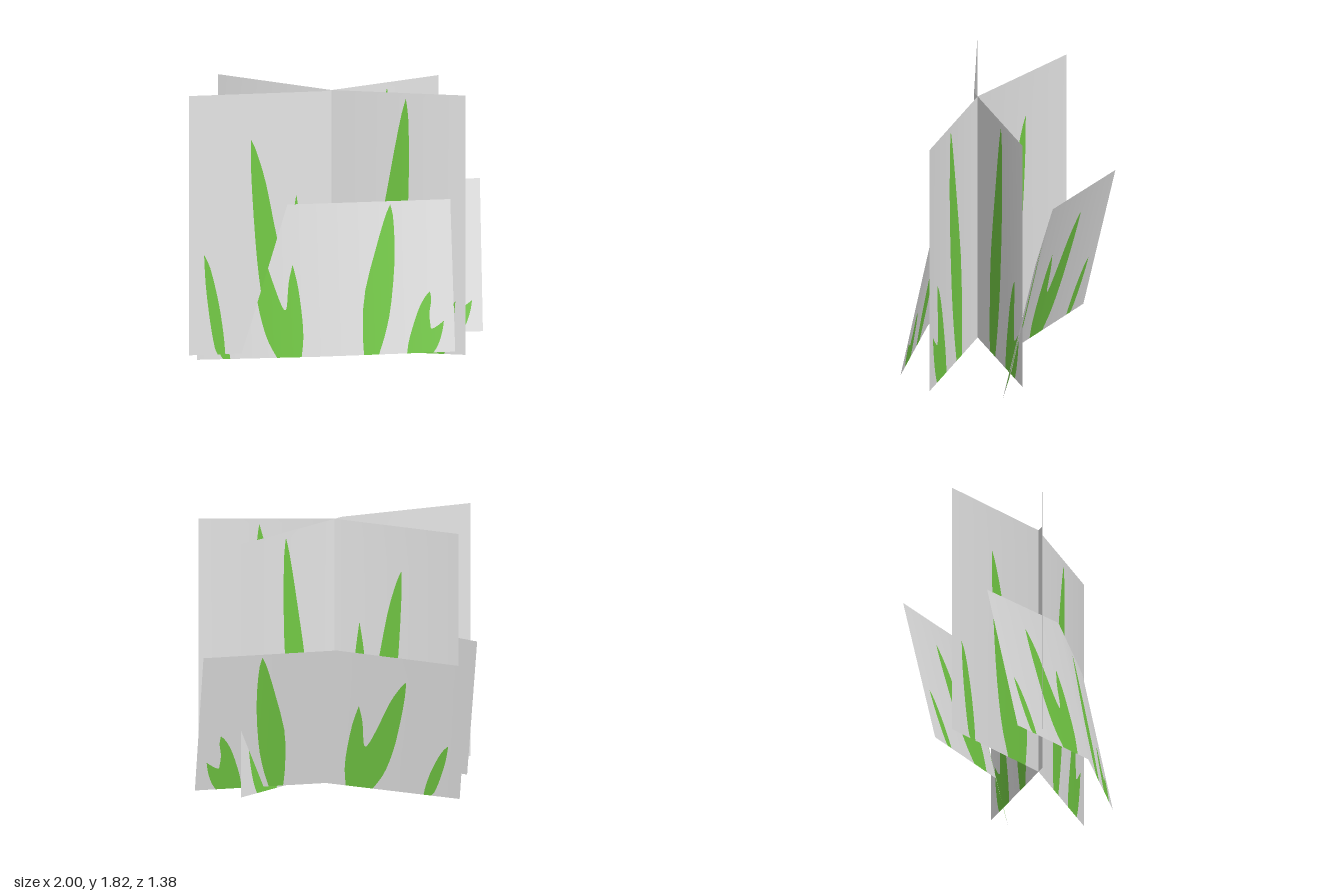
import * as THREE from 'three';

// Blade outlines in card space (u across, v up), left to right.
// Each blade is a list of smooth edges that meet at sharp tips and notches.
const LEFT_BLADES = [
  [ // short outer blade
    [[0.107, 0], [0.095, 0.03], [0.078, 0.13], [0.062, 0.27], [0.056, 0.385]],
    [[0.056, 0.385], [0.08, 0.33], [0.11, 0.2], [0.128, 0.08], [0.135, 0]],
  ],
  [ // tall blade with a lower side blade
    [[0.325, 0], [0.288, 0.12], [0.262, 0.28], [0.246, 0.45], [0.232, 0.68], [0.23, 0.825]],
    [[0.23, 0.825], [0.25, 0.78], [0.285, 0.66], [0.318, 0.49], [0.345, 0.36], [0.36, 0.31]],
    [[0.36, 0.31], [0.371, 0.33], [0.382, 0.49], [0.4, 0.605]],
    [[0.4, 0.605], [0.419, 0.46], [0.432, 0.26], [0.434, 0.12], [0.425, 0]],
  ],
];
const RIGHT_BLADES = [
  [ // tall wide blade
    [[0.663, 0], [0.661, 0.14], [0.672, 0.4], [0.72, 0.7], [0.757, 0.9], [0.777, 0.978]],
    [[0.777, 0.978], [0.787, 0.88], [0.787, 0.62], [0.768, 0.32], [0.745, 0.14], [0.718, 0]],
  ],
  [ // short forked blade
    [[0.822, 0], [0.833, 0.1], [0.866, 0.27], [0.893, 0.36], [0.914, 0.4]],
    [[0.914, 0.4], [0.917, 0.34], [0.909, 0.25], [0.913, 0.155]],
    [[0.913, 0.155], [0.93, 0.165], [0.962, 0.205]],
    [[0.962, 0.205], [0.954, 0.13], [0.938, 0.05], [0.92, 0]],
  ],
];

// Cards: left, fold and right points along the bottom and the top edge.
const upright = (pts) => ({
  bottom: pts.map(([x, z]) => [x, 0.07, z]),
  top: pts.map(([x, z]) => [x, 1.815, z]),
});
const CARDS = {
  frontLeaningCard: {
    bottom: [[-0.92, 0, 0.06], [-0.18, 0.1, 0.525], [0.69, 0.14, 0.69]],
    top: [[-0.92, 0.98, -0.14], [-0.18, 1.085, 0.33], [0.69, 1.12, 0.49]],
  },
  rearLeaningCard: {
    bottom: [[-0.68, 0.025, -0.48], [0.11, 0.097, -0.08], [0.985, 0.11, 0.015]],
    top: [[-0.67, 1.0, -0.69], [0.11, 1.077, -0.295], [1, 1.09, -0.2]],
  },
  uprightCardA: upright([[-1, 0.22], [-0.11, 0.225], [0.71, -0.11]]),
  uprightCardB: upright([[-0.71, -0.37], [-0.05, 0.2], [0.79, 0.5]]),
};

// Joins a blade's edges into one list of points
function outline(blade) {
  const pts = [];
  for (const edge of blade) {
    const curve = new THREE.SplineCurve(edge.map(([u, v]) => new THREE.Vector2(u, v)));
    const p = curve.getPoints(12);
    pts.push(...(pts.length ? p.slice(1) : p));
  }
  return pts;
}

// Bends a flat (u, v) geometry onto a folded card, shading smoothly over the fold
function bend(geometry, card, half) {
  const vec = (a) => new THREE.Vector3(...a);
  const b = card.bottom.map(vec), t = card.top.map(vec);
  const faceNormal = (i) => b[i + 1].clone().sub(b[i]).cross(t[i].clone().sub(b[i])).normalize();
  const outer = faceNormal(half);
  const middle = faceNormal(0).add(faceNormal(1)).normalize();
  const pos = geometry.attributes.position, nor = geometry.attributes.normal;
  for (let i = 0; i < pos.count; i++) {
    const k = pos.getX(i) * 2 - half, v = pos.getY(i);
    const low = b[half].clone().lerp(b[half + 1], k);
    const high = t[half].clone().lerp(t[half + 1], k);
    const p = low.lerp(high, v);
    const n = outer.clone().lerp(middle, half ? 1 - k : k).normalize();
    pos.setXYZ(i, p.x, p.y, p.z);
    nor.setXYZ(i, n.x, n.y, n.z);
  }
  return geometry;
}

export function createModel() {
  const group = new THREE.Group();
  const cardGrey = new THREE.MeshStandardMaterial({ color: 0xe6e6e6, side: THREE.DoubleSide });
  cardGrey.name = 'cardGrey';
  const grassGreen = new THREE.MeshStandardMaterial({ color: 0x74cc45, side: THREE.DoubleSide });
  grassGreen.name = 'grassGreen';

  for (const [name, card] of Object.entries(CARDS)) {
    const cardGroup = new THREE.Group();
    cardGroup.name = name;
    [LEFT_BLADES, RIGHT_BLADES].forEach((blades, half) => {
      const outlines = blades.map(outline);
      const u0 = half * 0.5, u1 = u0 + 0.5;
      const add = (points, material, part) => {
        const geometry = bend(new THREE.ShapeGeometry(new THREE.Shape(points)), card, half);
        const mesh = new THREE.Mesh(geometry, material);
        mesh.name = part;
        cardGroup.add(mesh);
      };
      // Grey panel, cut out around the blades
      add([
        new THREE.Vector2(u0, 0), ...outlines.flat(), new THREE.Vector2(u1, 0),
        new THREE.Vector2(u1, 1), new THREE.Vector2(u0, 1),
      ], cardGrey, half ? 'rightPanel' : 'leftPanel');
      // Green blades filling the cut-outs
      outlines.forEach((o) => add(o, grassGreen, 'grassBlade'));
    });
    group.add(cardGroup);
  }
  return group;
}
